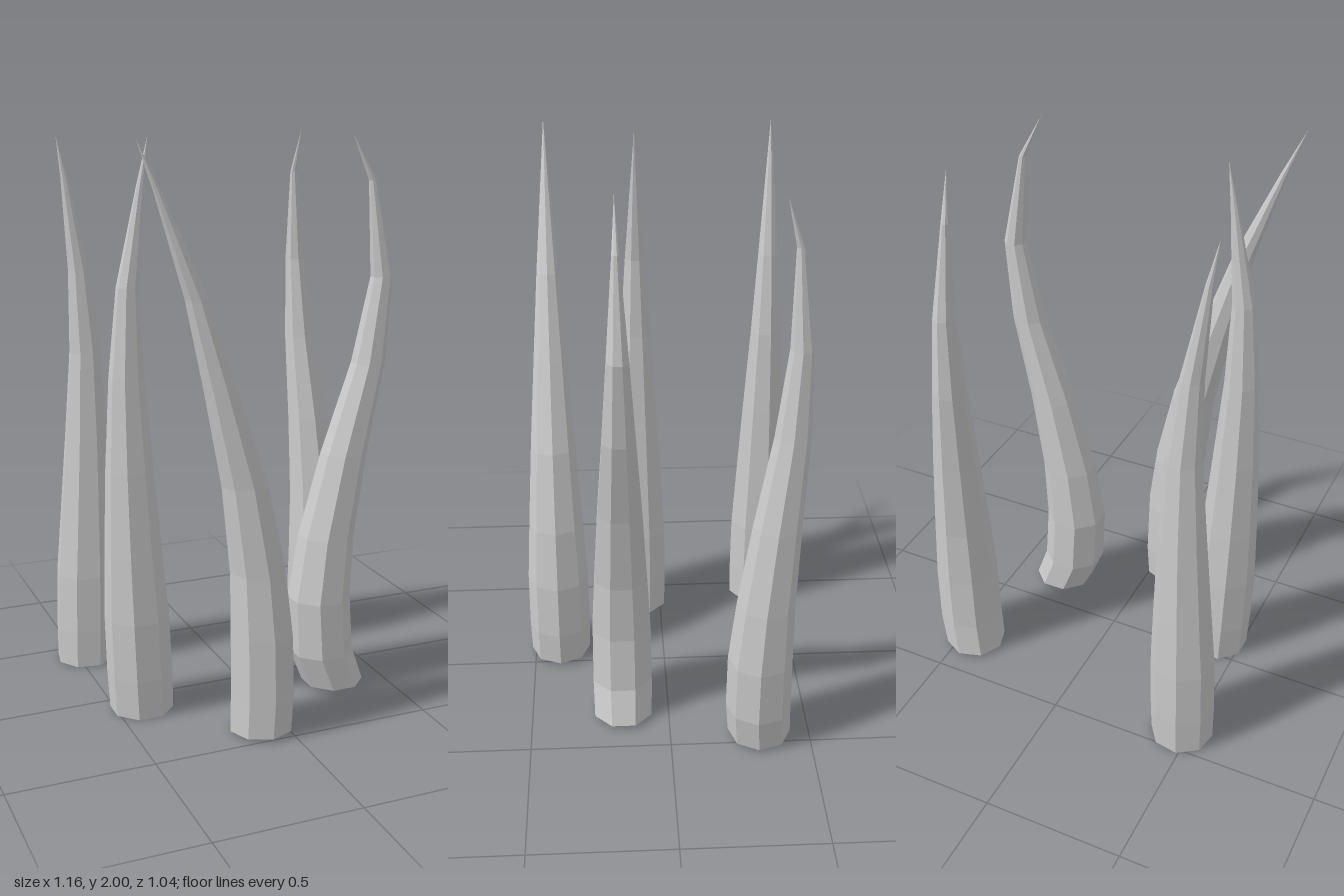
import * as THREE from 'three';

const SIDES = 8;
// Ring heights and radii shared by every spike; the last ring is the pointed tip.
const HEIGHTS = [0.01, 0.14, 0.35, 0.58, 0.88, 1.2, 1.5, 1.83, 1.99];
const RADII = [0.112, 0.115, 0.113, 0.1, 0.082, 0.06, 0.039, 0.013, 0];

// Centre line of each spike: x and z at every ring, plus the turn of its octagon.
const SPIKES = [
  { name: 'frontTentacle', turn: 0, base: 0.01, tip: 2,
    x: [-0.085, -0.079, -0.082, -0.097, -0.144, -0.225, -0.308, -0.43, -0.5],
    z: Array(9).fill(0.402) },
  { name: 'frontLeftTentacle', turn: 22.5, base: 0.015, tip: 1.99,
    x: [0.305, 0.258, 0.246, 0.272, 0.337, 0.426, 0.472, 0.428, 0.35],
    z: Array(9).fill(0.167) },
  { name: 'frontRightTentacle', turn: 22.5, base: 0, tip: 1.99,
    x: [-0.408, -0.413, -0.42, -0.428, -0.436, -0.44, -0.43, -0.38, -0.352],
    z: Array(9).fill(0.086) },
  { name: 'backLeftTentacle', turn: 5, base: 0.01, tip: 1.99,
    x: [0.445, 0.462, 0.466, 0.462, 0.447, 0.425, 0.41, 0.392, 0.402],
    z: [-0.32, -0.312, -0.312, -0.325, -0.355, -0.394, -0.412, -0.394, -0.348] },
  { name: 'backRightTentacle', turn: -12, base: 0, tip: 1.98,
    x: [-0.468, -0.465, -0.46, -0.452, -0.443, -0.438, -0.455, -0.498, -0.524],
    z: Array(9).fill(-0.408) },
];

// Open-bottomed octagonal tube lofted through the rings of one spike.
function spikeGeometry({ turn, base, tip, x, z }) {
  const last = HEIGHTS.length - 1;
  const point = (ring, side) => {
    const a = ((side % SIDES) / SIDES) * Math.PI * 2 + THREE.MathUtils.degToRad(turn);
    const y = ring === 0 ? base : ring === last ? tip : HEIGHTS[ring];
    return [x[ring] + RADII[ring] * Math.cos(a), y, z[ring] + RADII[ring] * Math.sin(a)];
  };
  const positions = [];
  for (let i = 0; i < last; i++) {
    for (let j = 0; j < SIDES; j++) {
      const a = point(i, j), b = point(i, j + 1), c = point(i + 1, j), d = point(i + 1, j + 1);
      positions.push(...a, ...c, ...b);
      if (i < last - 1) positions.push(...b, ...c, ...d);
    }
  }
  const geometry = new THREE.BufferGeometry();
  geometry.setAttribute('position', new THREE.Float32BufferAttribute(positions, 3));
  geometry.computeVertexNormals();
  return geometry;
}

export function createModel() {
  const group = new THREE.Group();
  group.name = 'tentacles';
  const material = new THREE.MeshStandardMaterial({
    color: 0xcccccc, flatShading: true, side: THREE.DoubleSide,
  });
  for (const spike of SPIKES) {
    const mesh = new THREE.Mesh(spikeGeometry(spike), material);
    mesh.name = spike.name;
    group.add(mesh);
  }
  return group;
}
